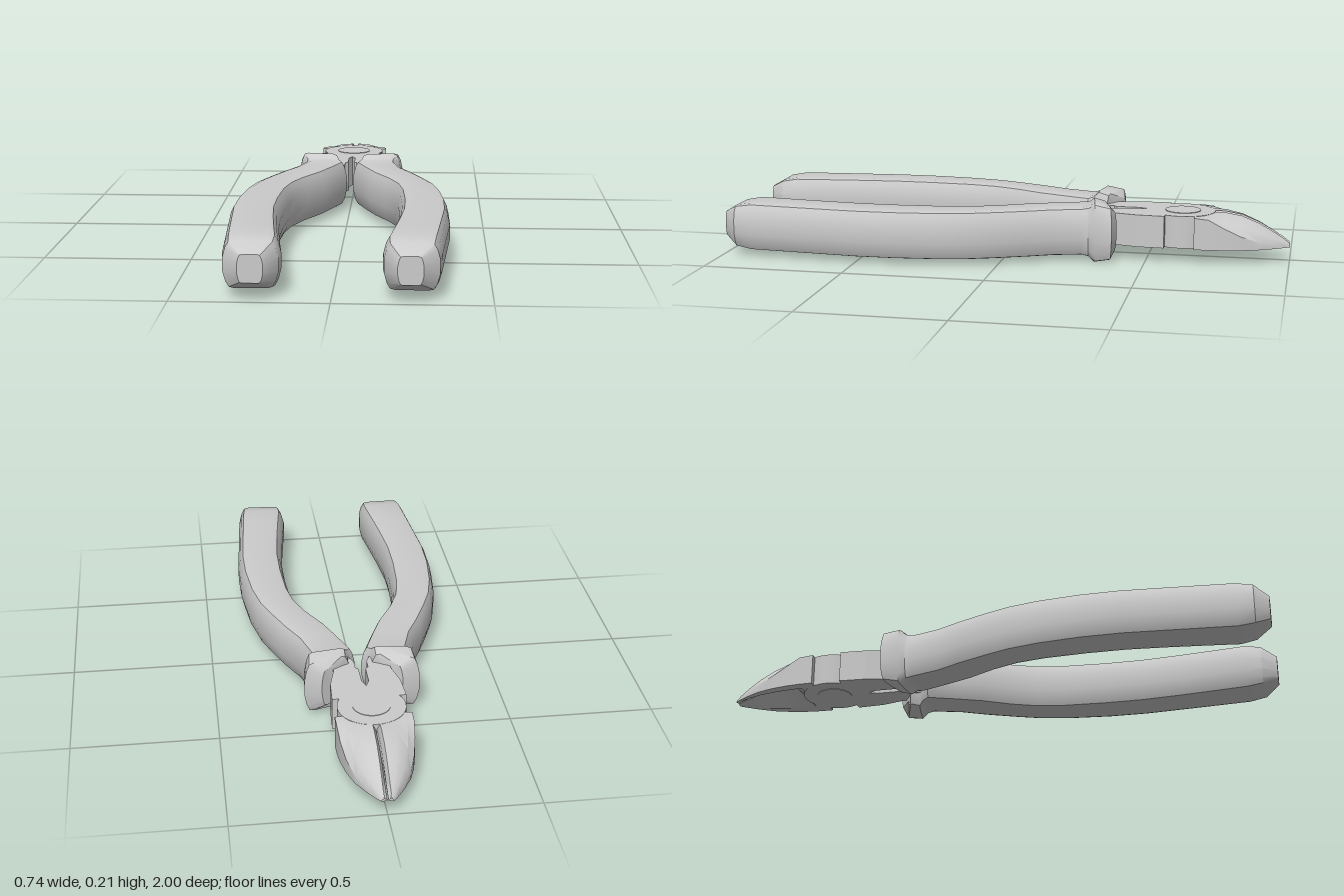
import * as THREE from 'three';
import { toCreasedNormals } from 'three/addons/utils/BufferGeometryUtils.js';

const material = new THREE.MeshStandardMaterial({ color: 0xcccccc });
const BOTTOM = 0.05, TOP = 0.165, MID = 0.108, PIVOT_Z = -0.62;

function addMesh(parent, name, geometry) {
  const mesh = new THREE.Mesh(geometry, material);
  mesh.name = name;
  parent.add(mesh);
  return mesh;
}

// Skin over closed rings of [x, y, z]; side -1 mirrors the part in x
function loft(rings, side, crease) {
  const n = rings[0].length, pos = [], idx = [];
  const tri = (a, b, c) => (side > 0 ? idx.push(a, b, c) : idx.push(a, c, b));
  rings.forEach(r => r.forEach(([x, y, z]) => pos.push(x * side, y, z)));
  for (let i = 0; i < rings.length - 1; i++) {
    for (let j = 0; j < n; j++) {
      const k = (j + 1) % n, a = i * n, b = a + n;
      tri(a + j, a + k, b + k);
      tri(a + j, b + k, b + j);
    }
  }
  [0, rings.length - 1].forEach(i => {
    const c = [0, 1, 2].map(d => rings[i].reduce((s, p) => s + p[d], 0) / n);
    const centre = pos.length / 3;
    pos.push(c[0] * side, c[1], c[2]);
    for (let j = 0; j < n; j++) {
      const a = i * n + j, b = i * n + (j + 1) % n;
      if (i === 0) tri(centre, b, a); else tri(centre, a, b);
    }
  });
  const g = new THREE.BufferGeometry();
  g.setAttribute('position', new THREE.Float32BufferAttribute(pos, 3));
  g.setIndex(idx);
  return toCreasedNormals(g, crease);
}

// Flat plate from an outline of [x, z]
function plate(points, side, y0, y1) {
  const shape = new THREE.Shape(points.map(([x, z]) => new THREE.Vector2(x * side, -z)));
  const g = new THREE.ExtrudeGeometry(shape, { depth: y1 - y0, bevelEnabled: false });
  return g.rotateX(-Math.PI / 2).translate(0, y0, 0);
}

function disc(radius, y0, y1) {
  return new THREE.CylinderGeometry(radius, radius, y1 - y0, 32).translate(0, (y0 + y1) / 2, PIVOT_Z);
}

// Grip stations: inner x, inner z, outer x, outer z, half height
const GRIP = [
  [0.055, -0.345, 0.14, -0.40, 0.07],
  [0.035, -0.338, 0.20, -0.39, 0.095],
  [0.035, -0.305, 0.195, -0.33, 0.106],
  [0.025, -0.29, 0.18, -0.305, 0.09],
  [0.012, -0.27, 0.182, -0.28, 0.085],
  [0.05, -0.17, 0.21, -0.18, 0.085],
  [0.085, -0.08, 0.255, -0.09, 0.085],
  [0.14, 0.02, 0.295, 0.01, 0.085],
  [0.175, 0.11, 0.328, 0.10, 0.085],
  [0.192, 0.21, 0.352, 0.21, 0.085],
  [0.20, 0.36, 0.368, 0.36, 0.085],
  [0.20, 0.50, 0.37, 0.50, 0.085],
  [0.188, 0.64, 0.36, 0.64, 0.085],
  [0.172, 0.78, 0.35, 0.78, 0.085],
  [0.158, 0.89, 0.342, 0.89, 0.085],
  [0.162, 0.945, 0.335, 0.95, 0.075],
  [0.205, 1.0, 0.285, 1.0, 0.045],
];

// Rounded, flat-topped grip section
const quarter = [[1, 0.3], [0.9, 0.72], [0.78, 0.95], [0.6, 1]];
const SECTION = [
  ...quarter,
  ...quarter.map(([u, v]) => [-u, v]).reverse(),
  ...quarter.map(([u, v]) => [-u, -v]),
  ...quarter.map(([u, v]) => [u, -v]).reverse(),
];

// Jaw stations: z, width, top, shoulder share, hollow height
const JAW = [
  [-1.0, 0.02, 0.062, 0.3, 0.053],
  [-0.98, 0.036, 0.078, 0.3, 0.06],
  [-0.94, 0.062, 0.103, 0.32, 0.075],
  [-0.89, 0.09, 0.131, 0.36, 0.095],
  [-0.83, 0.11, 0.155, 0.48, 0.105],
  [-0.77, 0.122, 0.165, 0.7, 0.095],
  [-0.72, 0.127, 0.165, 0.94, 0.055],
  [-0.67, 0.128, 0.165, 0.98, 0.052],
];

function jawRing([z, w, top, share, hollow]) {
  const shoulder = BOTTOM + (top - BOTTOM) * share;
  return [
    [0.002, hollow], [w * 0.7, BOTTOM], [w, BOTTOM], [w, shoulder],
    [w * 0.8, shoulder + (top - shoulder) * 0.55],
    [w * 0.48, shoulder + (top - shoulder) * 0.9],
    [0.012, top], [0.002, Math.max(top - 0.02, hollow + 0.003)],
  ].map(([x, y]) => [x, y, z]);
}

const SHANK = [
  [0, -0.57], [0.125, -0.565], [0.12, -0.47], [0.098, -0.38], [0.13, -0.24],
  [0.06, -0.24], [0.022, -0.33], [0.022, -0.37], [0.012, -0.38], [0.012, -0.46], [0, -0.49],
];

function buildHalf(side) {
  const half = new THREE.Group();
  half.name = side > 0 ? 'leftHalf' : 'rightHalf';

  const gripRings = GRIP.map(([ix, iz, ox, oz, h]) => SECTION.map(([u, v]) => {
    const t = (u + 1) / 2;
    return [ix + (ox - ix) * t, 0.105 + h * v, iz + (oz - iz) * t];
  }));
  addMesh(half, 'grip', loft(gripRings, side, 0.6));
  addMesh(half, 'jaw', loft(JAW.map(jawRing), side, 0.55));
  addMesh(half, 'shank', plate(SHANK, side, BOTTOM, TOP));

  // Each half carries one layer of the lap joint
  const layer = side > 0 ? [MID, TOP] : [BOTTOM, MID];
  addMesh(half, 'jointPlate', disc(0.115, ...layer));
  return half;
}

export function createModel() {
  const model = new THREE.Group();
  model.name = 'pliers';
  [1, -1].forEach(side => model.add(buildHalf(side)));

  // Rivet, nearly flush with both faces
  addMesh(model, 'pivotRivet', disc(0.063, BOTTOM - 0.002, TOP + 0.002));
  return model;
}
